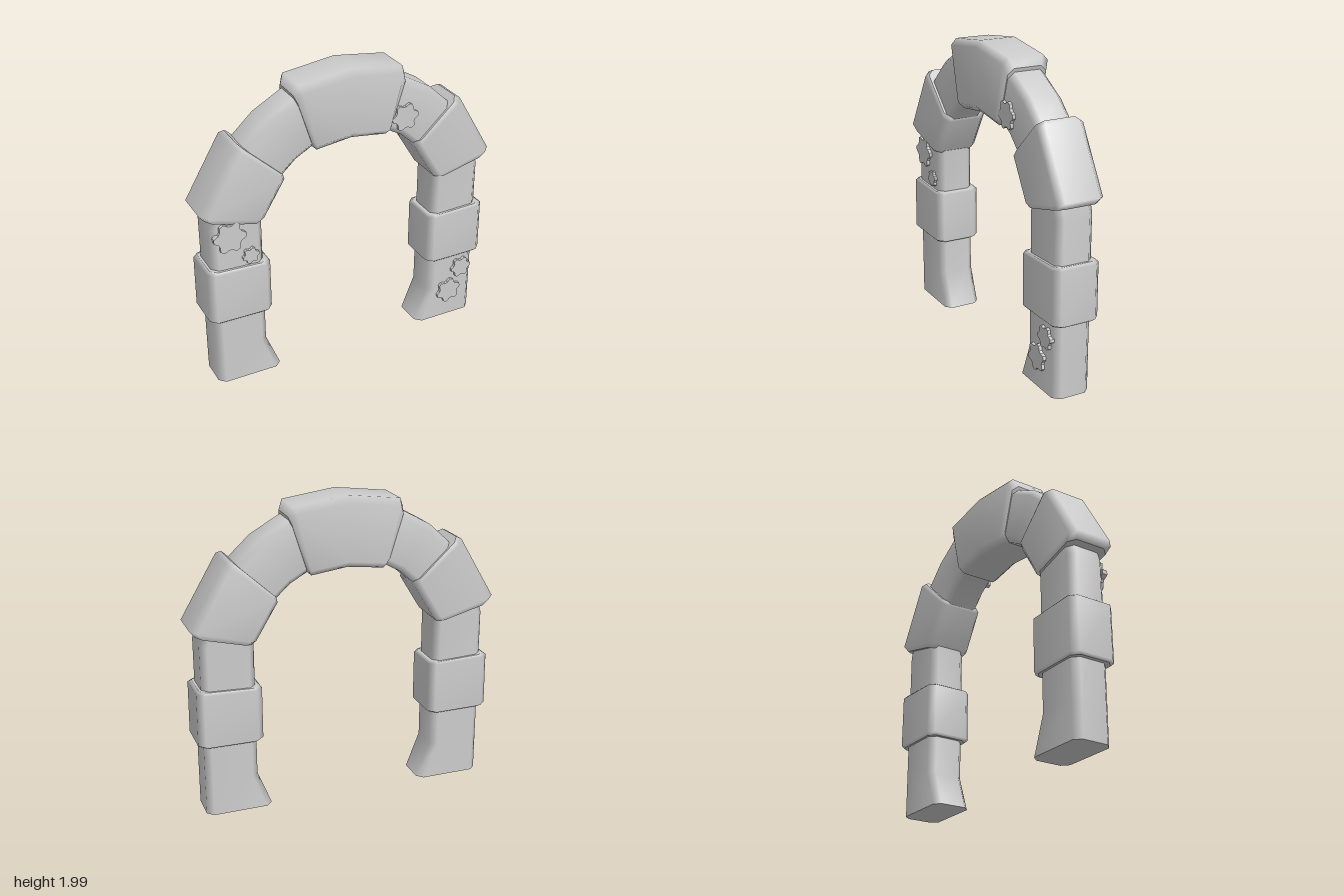
import * as THREE from 'three';

const material = new THREE.MeshStandardMaterial({ color: 0xcccccc, side: THREE.DoubleSide });

// Mirrors a run of rings across x = 0, keeping the sweep direction
const mirror = (rings) => rings.map(([ix, iy, ox, oy, h]) => [-ix, iy, -ox, oy, h]).reverse();

// Lofts chamfered rectangles. Ring: [innerX, innerY, outerX, outerY, halfDepth]
function loft(name, rings, chamfer) {
  const pos = [], index = [];
  const addRing = ([ix, iy, ox, oy, h]) => {
    const start = pos.length / 3;
    const k = chamfer / Math.hypot(ox - ix, oy - iy), d = h - chamfer;
    const section = [[-d, 0], [d, 0], [h, k], [h, 1 - k], [d, 1], [-d, 1], [-h, 1 - k], [-h, k]];
    for (const [z, t] of section) pos.push(ix + (ox - ix) * t, iy + (oy - iy) * t, z);
    return start;
  };
  const starts = rings.map(addRing);
  for (let i = 0; i < starts.length - 1; i++) {
    for (let j = 0; j < 8; j++) {
      const n = (j + 1) % 8, a = starts[i], b = starts[i + 1];
      index.push(a + j, a + n, b + n, a + j, b + n, b + j);
    }
  }
  // End caps with their own vertices so their rims stay sharp
  const first = addRing(rings[0]), last = addRing(rings[rings.length - 1]);
  for (let j = 1; j < 7; j++) {
    index.push(first, first + j + 1, first + j, last, last + j, last + j + 1);
  }
  const geometry = new THREE.BufferGeometry();
  geometry.setAttribute('position', new THREE.Float32BufferAttribute(pos, 3));
  geometry.setIndex(index);
  geometry.computeVertexNormals();
  const mesh = new THREE.Mesh(geometry, material);
  mesh.name = name;
  return mesh;
}

// Small six-lobed flower relief on the front face
function flower(x, y, radius, turn) {
  const points = [];
  for (let i = 0; i < 48; i++) {
    const a = (i / 48) * Math.PI * 2;
    const wave = THREE.MathUtils.clamp(1.5 * Math.cos(6 * a), -1, 1);
    const r = radius * (0.89 + 0.11 * wave);
    points.push(new THREE.Vector2(r * Math.cos(a + turn), r * Math.sin(a + turn)));
  }
  const geometry = new THREE.ExtrudeGeometry(new THREE.Shape(points), { depth: 0.035, bevelEnabled: false });
  const mesh = new THREE.Mesh(geometry, material);
  mesh.position.set(x, y, 0.11);
  mesh.name = 'flower';
  return mesh;
}

export function createModel() {
  const group = new THREE.Group();
  group.name = 'archway';

  // Arch body: flared foot, straight leg, then a faceted semicircle
  const depth = 0.125;
  const half = [
    [0.51, 0, 0.94, 0, depth],
    [0.6, 0.23, 0.94, 0.23, depth],
    [0.6, 1.13, 0.94, 1.13, depth],
  ];
  for (const degrees of [27, 40.5, 54, 67]) {
    const a = THREE.MathUtils.degToRad(degrees), c = Math.cos(a), s = Math.sin(a);
    half.push([0.61 * c, 0.98 + 0.6 * s, 0.95 * c, 0.98 + 0.95 * s, depth]);
  }
  const top = [0, 1.58, 0, 1.93, depth];
  group.add(loft('archBody', [...half, top, ...mirror(half)], 0.04));

  // Bands around the legs and blocks on the shoulders
  const band = [
    [0.58, 0.475, 0.965, 0.478, 0.14],
    [0.563, 0.49, 0.98, 0.493, 0.155],
    [0.563, 0.823, 0.977, 0.835, 0.155],
    [0.585, 0.835, 0.955, 0.85, 0.14],
  ];
  const shoulder = [
    [0.615, 1.11, 0.965, 1.2, 0.14],
    [0.59, 1.135, 0.999, 1.245, 0.155],
    [0.45, 1.365, 0.765, 1.643, 0.155],
    [0.455, 1.395, 0.735, 1.657, 0.14],
  ];
  group.add(
    loft('leftLegBand', band, 0.04),
    loft('rightLegBand', mirror(band), 0.04),
    loft('leftShoulderBlock', shoulder, 0.04),
    loft('rightShoulderBlock', mirror(shoulder), 0.04),
  );

  // Keystone
  const keyHalf = [
    [0.262, 1.535, 0.37, 1.88, 0.13],
    [0.235, 1.51, 0.342, 1.94, 0.155],
  ];
  const keyMiddle = [0, 1.54, 0, 1.985, 0.155];
  group.add(loft('keystone', [...keyHalf, keyMiddle, ...mirror(keyHalf)], 0.04));

  // Flowers
  const flowers = [
    [-0.825, 1.07, 0.105, 0],
    [-0.695, 0.91, 0.055, 0.2],
    [0.36, 1.605, 0.09, 0.1],
    [0.835, 0.37, 0.075, 0.1],
    [0.745, 0.205, 0.09, 0.3],
  ];
  for (const f of flowers) group.add(flower(...f));

  return group;
}
